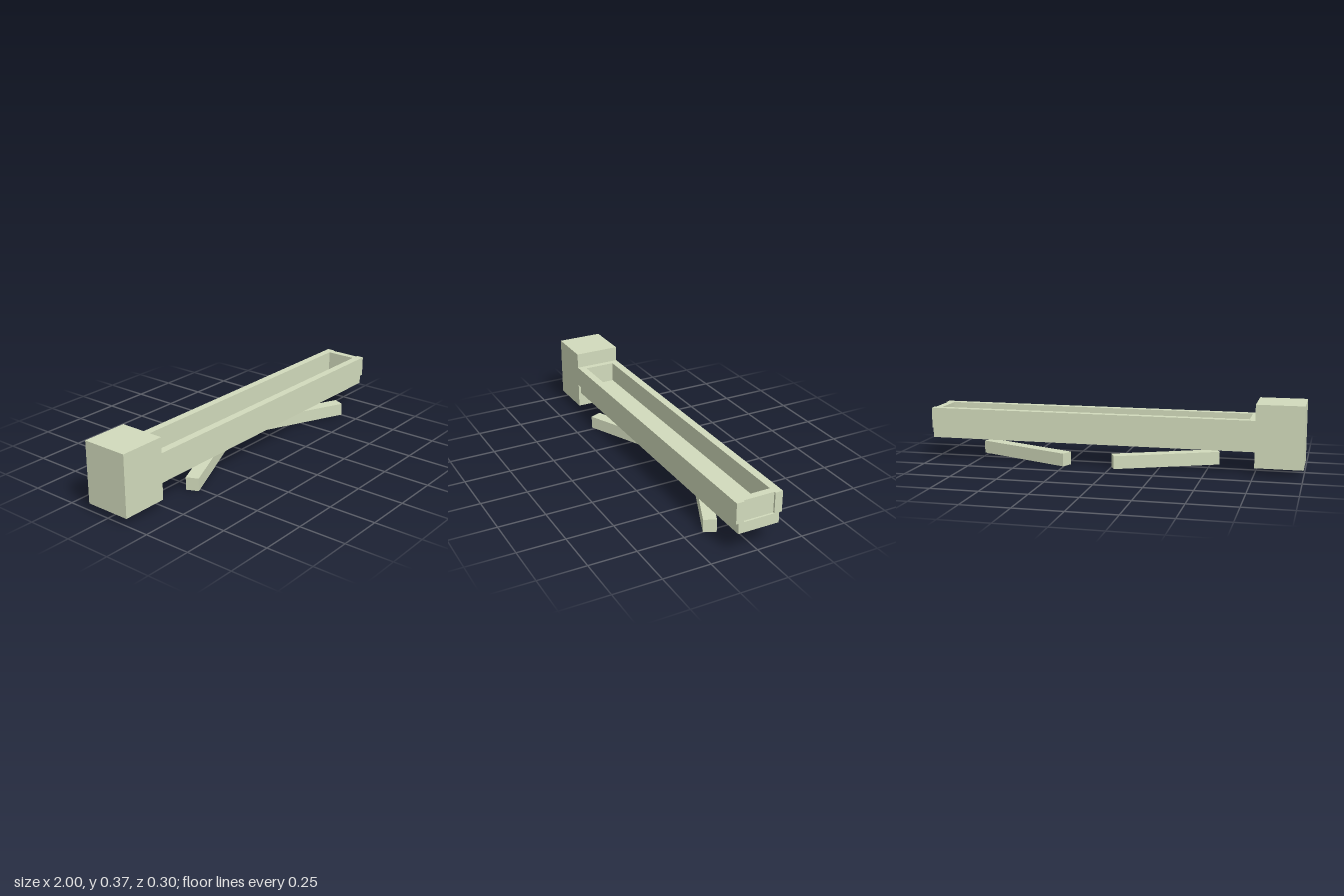
import * as THREE from 'three';

export function createModel() {
  const group = new THREE.Group();
  const material = new THREE.MeshStandardMaterial({ color: 0xd2dbbc, flatShading: true });

  // Box given by its limits on each axis
  function box(name, [x0, x1], [y0, y1], [z0, z1]) {
    const mesh = new THREE.Mesh(new THREE.BoxGeometry(x1 - x0, y1 - y0, z1 - z0), material);
    mesh.position.set((x0 + x1) / 2, (y0 + y1) / 2, (z0 + z1) / 2);
    mesh.name = name;
    group.add(mesh);
    return mesh;
  }

  // Tall block at the left end of the front
  box('headBlock', [-1, -0.752], [0.038, 0.366], [-0.124, 0.124]);

  // Narrower beam that forms the trough floor
  box('lowerBeam', [-0.752, 1], [0.118, 0.174], [-0.11, 0.11]);

  // Trough wall seen from above: open ring with a shallow recess in the far end
  const [x0, x1, z, zi] = [-0.752, 1, 0.124, 0.083];
  const outline = new THREE.Shape([
    [x0, -z], [x1, -z], [x1, -zi], [0.99, -zi],
    [0.99, zi], [x1, zi], [x1, z], [x0, z],
  ].map(([x, y]) => new THREE.Vector2(x, y)));
  outline.holes.push(new THREE.Path([
    [-0.72, -zi], [-0.72, zi], [0.953, zi], [0.953, -zi],
  ].map(([x, y]) => new THREE.Vector2(x, y))));
  const wallGeometry = new THREE.ExtrudeGeometry(outline, { depth: 0.11, bevelEnabled: false });
  wallGeometry.rotateX(-Math.PI / 2);
  const wall = new THREE.Mesh(wallGeometry, material);
  wall.position.y = 0.173;
  wall.name = 'troughWall';
  group.add(wall);

  // Two slanted bars below, mirrored to each other
  for (const [name, x, side] of [['rightFootBar', -0.272, 1], ['leftFootBar', 0.502, -1]]) {
    const bar = box(name, [x - 0.288, x + 0.288], [0, 0.069], [-0.0335, 0.0335]);
    bar.rotation.y = side * THREE.MathUtils.degToRad(24.2);
  }

  return group;
}
